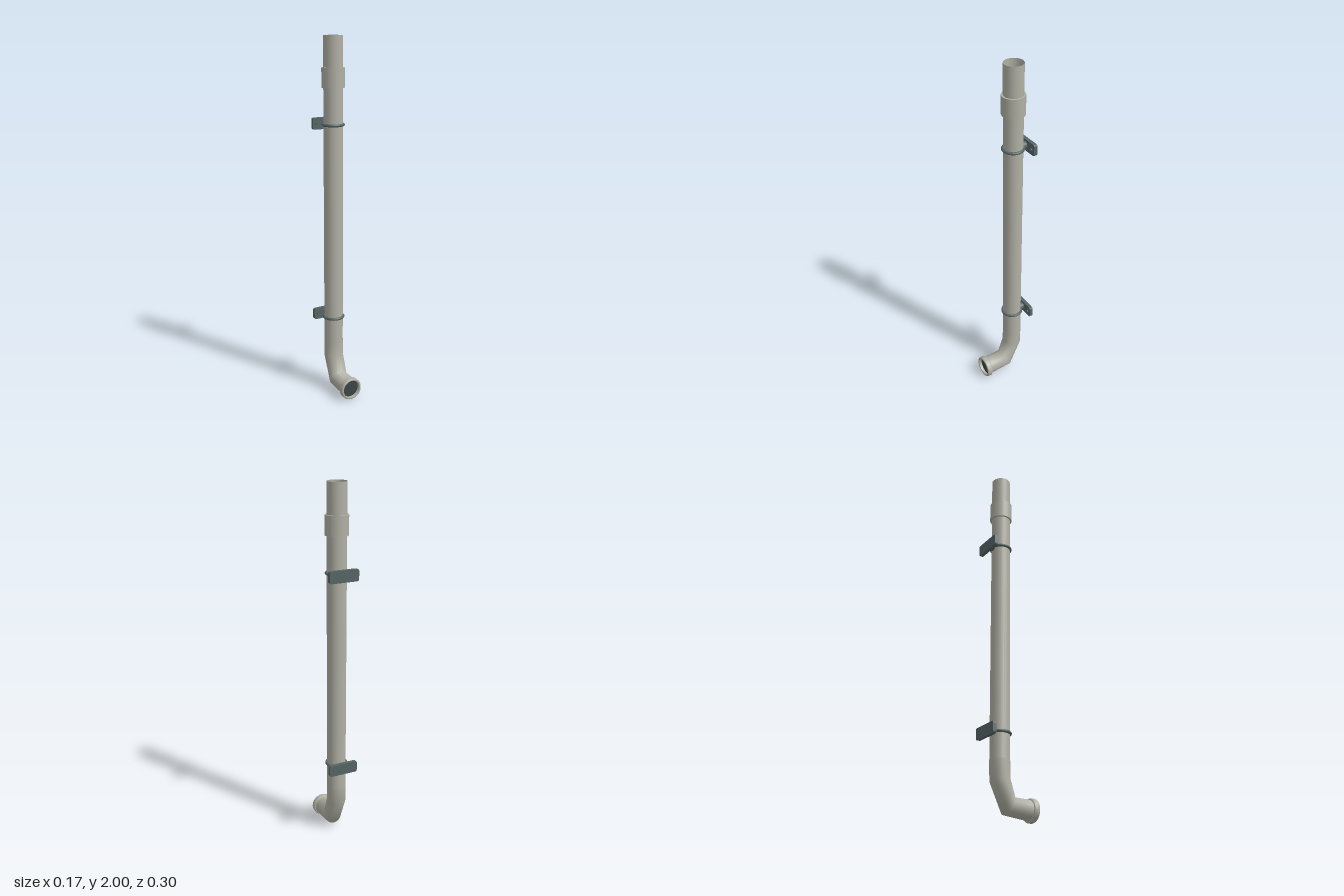
import * as THREE from 'three';

const PIPE_Z = -0.057;

export function createModel() {
  const model = new THREE.Group();
  model.name = 'drainpipe';

  const pipeMat = new THREE.MeshStandardMaterial({ color: 0xb0b0a5, side: THREE.DoubleSide });
  pipeMat.name = 'warm grey pipe';
  const bracketMat = new THREE.MeshStandardMaterial({ color: 0x566565 });
  bracketMat.name = 'slate bracket';
  const darkMat = new THREE.MeshStandardMaterial({ color: 0x394645 });
  darkMat.name = 'dark interior';

  const add = (parent, name, geometry, material, x = 0, y = 0, z = 0) => {
    const mesh = new THREE.Mesh(geometry, material);
    mesh.name = name;
    mesh.position.set(x, y, z);
    parent.add(mesh);
    return mesh;
  };

  // Long straight pipe, open at the top
  add(model, 'straightPipe', new THREE.CylinderGeometry(0.0525, 0.0525, 1.71, 24, 1, true),
    pipeMat, 0, 1.145, PIPE_Z);

  // Joint sleeve near the top
  add(model, 'jointSleeve', new THREE.CylinderGeometry(0.0625, 0.0625, 0.105, 24),
    pipeMat, 0, 1.783, PIPE_Z);

  // Elbow swept through rings set square to the path; each ring is [y, z, tilt]
  const rings = [
    [0.30, PIPE_Z, 0], [0.20, -0.055, 0.22], [0.076, -0.004, 1.06], [0.068, 0.125, 1.52],
  ];
  const sides = 24;
  const positions = [];
  const indices = [];
  rings.forEach(([y, z, tilt], r) => {
    for (let i = 0; i <= sides; i++) {
      const a = (i / sides) * Math.PI * 2;
      const s = 0.0535 * Math.cos(a);
      positions.push(0.0535 * Math.sin(a), y + s * Math.sin(tilt), z + s * Math.cos(tilt));
      if (r && i < sides) {
        const p = (r - 1) * (sides + 1) + i;
        const q = p + sides + 1;
        indices.push(p, q, p + 1, q, q + 1, p + 1);
      }
    }
  });
  const elbow = new THREE.BufferGeometry();
  elbow.setAttribute('position', new THREE.Float32BufferAttribute(positions, 3));
  elbow.setIndex(indices);
  elbow.computeVertexNormals();
  add(model, 'elbow', elbow, pipeMat);

  // Outlet socket with bevelled lip and recessed dark opening
  const profile = [
    [0.050, 0.115], [0.058, 0.115], [0.0625, 0.121], [0.0625, 0.141],
    [0.059, 0.147], [0.052, 0.147], [0.050, 0.144], [0.050, 0.115],
  ].map(([r, h]) => new THREE.Vector2(r, h));
  const socket = add(model, 'outletSocket', new THREE.LatheGeometry(profile, 28), pipeMat, 0, 0.0675, 0);
  socket.rotation.x = Math.PI / 2;
  add(model, 'outletOpening', new THREE.CircleGeometry(0.0505, 28), darkMat, 0, 0.0675, 0.13);

  // Rounded wall plate outline shared by both brackets
  const w = 0.083, h = 0.032, c = 0.012;
  const outline = new THREE.Shape();
  outline.moveTo(-w + c, -h);
  outline.lineTo(w - c, -h);
  outline.quadraticCurveTo(w, -h, w, -h + c);
  outline.lineTo(w, h - c);
  outline.quadraticCurveTo(w, h, w - c, h);
  outline.lineTo(-w + c, h);
  outline.quadraticCurveTo(-w, h, -w, h - c);
  outline.lineTo(-w, -h + c);
  outline.quadraticCurveTo(-w, -h, -w + c, -h);
  const plate = new THREE.ExtrudeGeometry(outline, { depth: 0.02, bevelEnabled: false, curveSegments: 4 });

  // Wall brackets: clamp ring, stem, plate and two screws
  for (const [name, y] of [['upperBracket', 1.535], ['lowerBracket', 0.44]]) {
    const bracket = new THREE.Group();
    bracket.name = name;
    bracket.position.y = y;
    model.add(bracket);
    const ring = add(bracket, 'clampRing', new THREE.TorusGeometry(0.0545, 0.008, 10, 32), bracketMat, 0, 0, PIPE_Z);
    ring.rotation.x = Math.PI / 2;
    const stem = add(bracket, 'stem', new THREE.CylinderGeometry(0.021, 0.021, 0.03, 16), bracketMat, 0, 0, -0.12);
    stem.rotation.x = Math.PI / 2;
    add(bracket, 'wallPlate', plate, bracketMat, 0, 0, -0.15);
    for (const side of [-1, 1]) {
      const screw = add(bracket, 'screw', new THREE.CylinderGeometry(0.0065, 0.0065, 0.01, 10),
        bracketMat, side * 0.061, 0, -0.127);
      screw.rotation.x = Math.PI / 2;
    }
  }
  return model;
}
